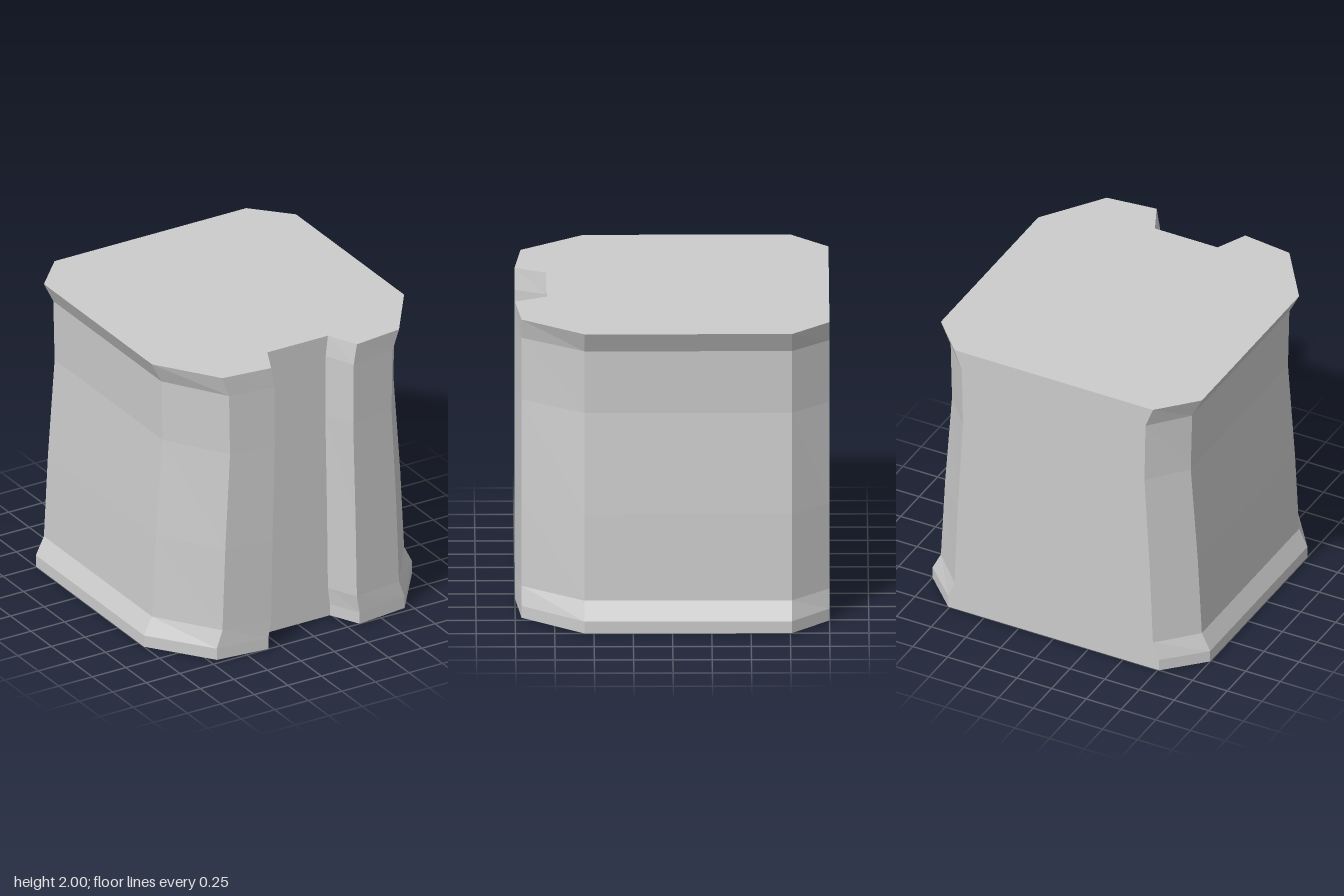
import * as THREE from 'three';

// Half of the plan outline at the foot, as [x, z] from the front notch to the back
const HALF = [[0.24, 0.8], [0.34, 1], [0.7, 0.96], [1, 0.56], [1, -0.76], [0.76, -1]];

// Height and side-to-side scale of each level, from foot to top rim
const LEVELS = [[0, 1], [0.08, 1], [0.2, 0.94], [0.77, 0.91], [1.44, 0.86], [1.86, 0.87], [2, 0.94]];

export function createModel() {
  const model = new THREE.Group();
  model.name = 'pillarBlock';

  // Mirrored outline, with a notch in the front
  const mirrored = HALF.map(([x, z]) => [-x, z]).reverse();
  const outline = [...HALF, ...mirrored].map(([x, z]) => new THREE.Vector2(x, -z));

  // One extrusion step per level
  const geometry = new THREE.ExtrudeGeometry(new THREE.Shape(outline), {
    depth: LEVELS.length - 1, steps: LEVELS.length - 1, bevelEnabled: false,
  });
  geometry.rotateX(-Math.PI / 2);

  // Move each level to its height and pinch the waist in x only
  const pos = geometry.attributes.position;
  for (let i = 0; i < pos.count; i++) {
    const [height, scale] = LEVELS[Math.round(pos.getY(i))];
    pos.setX(i, pos.getX(i) * scale);
    pos.setY(i, height);
  }
  geometry.computeVertexNormals();

  const material = new THREE.MeshStandardMaterial({ color: 0xcccccc, flatShading: true });
  const body = new THREE.Mesh(geometry, material);
  body.name = 'notchedPillar';
  model.add(body);
  return model;
}
